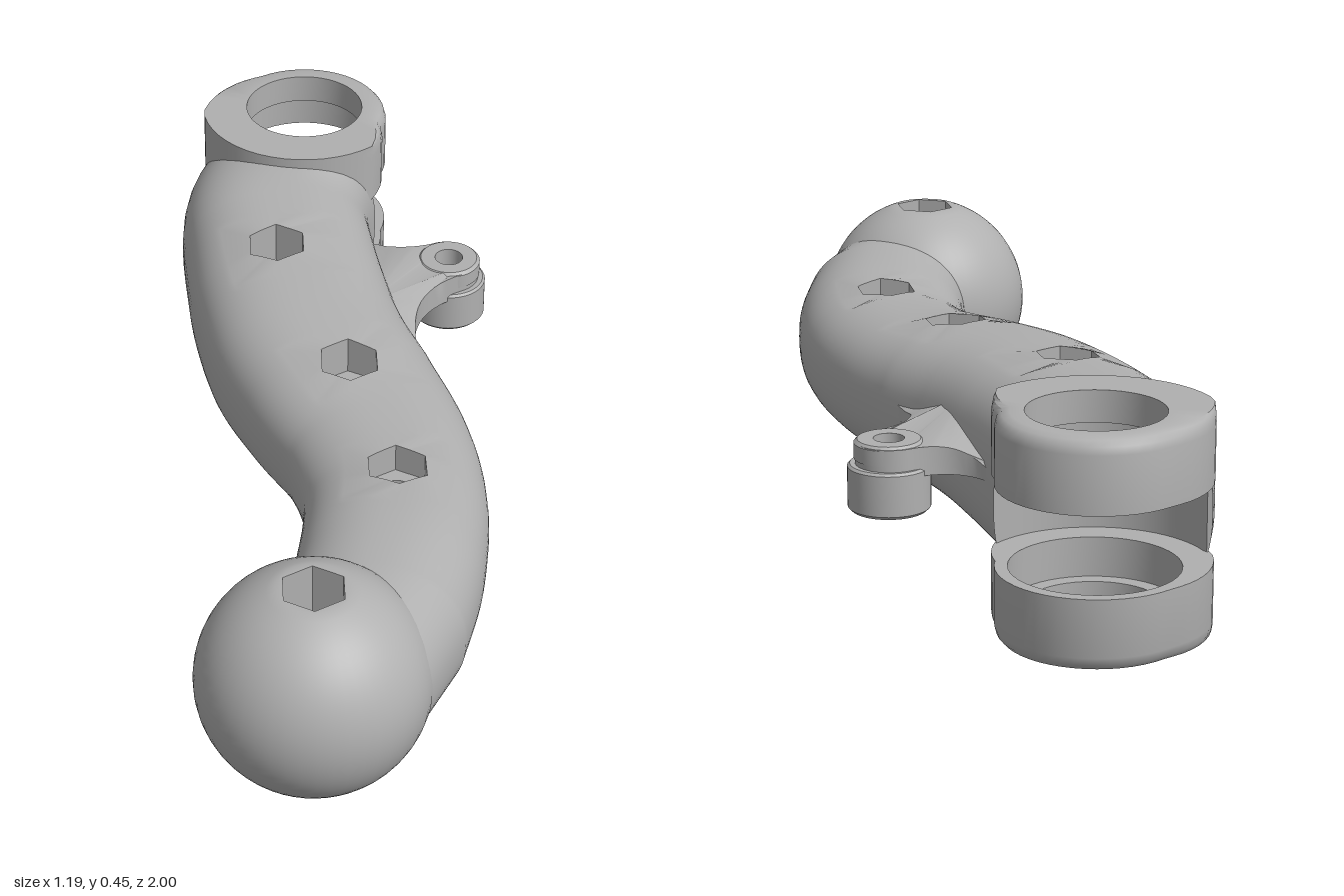
import * as THREE from 'three';
import { toCreasedNormals } from 'three/addons/utils/BufferGeometryUtils.js';

const MID = 0.225;           // height of the symmetry plane
const K = 48;                // points in every hole loop
const V = (x, y, z) => new THREE.Vector3(x, y, z);
const grey = new THREE.MeshStandardMaterial({ color: 0xb0b0b0 });
grey.name = 'grey';

// Smooth normals with sharp edges; scaled up so close points stay distinct
function part(name, geometry, crease = 0.6) {
  geometry.scale(100, 100, 100);
  const g = toCreasedNormals(geometry, crease);
  g.scale(0.01, 0.01, 0.01);
  const mesh = new THREE.Mesh(g, grey);
  mesh.name = name;
  return mesh;
}

// Collects quads given counter-clockwise
class Skin {
  constructor() { this.p = []; }
  quad(a, b, c, d) {
    for (const v of [a, b, c, a, c, d]) this.p.push(v.x, v.y, v.z);
  }
  // Joins closed loops, from the outermost to the innermost
  strips(loops) {
    for (let l = 0; l + 1 < loops.length; l++) {
      const A = loops[l], B = loops[l + 1], n = A.length;
      for (let k = 0; k < n; k++) this.quad(A[k], A[(k + 1) % n], B[(k + 1) % n], B[k]);
    }
  }
  geometry() {
    const g = new THREE.BufferGeometry();
    g.setAttribute('position', new THREE.Float32BufferAttribute(this.p, 3));
    return g;
  }
}

// Loop about a vertical axis; side +1 is seen from above, -1 from below
function loop(cx, cz, side, start, radius, height) {
  return Array.from({ length: K }, (_, k) => {
    const a = start + side * k * 2 * Math.PI / K;
    const r = typeof radius === 'function' ? radius(k) : radius;
    const x = cx + r * Math.cos(a), z = cz - r * Math.sin(a);
    return V(x, typeof height === 'function' ? height(x, z) : height, z);
  });
}
const hexRadius = (k) =>
  0.067 * Math.cos(Math.PI / 6) / Math.cos((k % 8) / 8 * Math.PI / 3 - Math.PI / 6);

// Nut pocket above, round pocket below, and a bolt hole between them
function boltHole(cx, cz, side, start, rimHeight) {
  const r = side > 0 ? hexRadius : 0.05, floor = MID + side * 0.085;
  return [
    loop(cx, cz, side, start, r, rimHeight), loop(cx, cz, side, start, r, floor),
    loop(cx, cz, side, start, 0.031, floor), loop(cx, cz, side, start, 0.031, MID),
  ];
}

// Arm centreline, with its half height stored in y
const path = new THREE.CatmullRomCurve3([
  V(-0.2, 0.166, 0.7), V(-0.09, 0.16, 0.56), V(0.015, 0.148, 0.38), V(0.065, 0.152, 0.2),
  V(0.077, 0.168, 0.01), V(0.09, 0.18, -0.17), V(0.135, 0.19, -0.36), V(0.2, 0.2, -0.56),
]);
const halfWidths = [0.185, 0.19, 0.19, 0.2, 0.215, 0.22, 0.22, 0.215];
const BALL = { x: -0.363, z: 0.768 };
const EYE = { x: 0.39, z: -0.81 };
const power = (v, e) => Math.sign(v) * Math.abs(v) ** e;

// Station on the arm; p is how square its oval section is
function frame(t) {
  const c = path.getPoint(t), d = path.getTangent(t);
  const len = Math.hypot(d.x, d.z), f = t * 7, i = Math.min(6, Math.floor(f));
  return {
    x: c.x, z: c.z, h: c.y, tx: d.x / len, tz: d.z / len, nx: -d.z / len, nz: d.x / len,
    w: THREE.MathUtils.lerp(halfWidths[i], halfWidths[i + 1], f - i), p: 2.25 + 0.4 * t,
  };
}

function armGeometry() {
  const N = 82, M = 72, HALF = 6, skin = new Skin();
  const frames = Array.from({ length: N + 1 }, (_, i) => frame(i / N));
  const fine = Array.from({ length: 401 }, (_, i) => frame(i / 400));
  const nearest = (list, x, z) => list.reduce((best, f, i) =>
    Math.hypot(f.x - x, f.z - z) < Math.hypot(list[best].x - x, list[best].z - z) ? i : best, 0);
  const offset = (f, x, z) => (x - f.x) * f.nx + (z - f.z) * f.nz;
  const ring = (p, point) => Array.from({ length: M }, (_, j) => {
    const a = j / M * 2 * Math.PI;
    return point(power(Math.cos(a), 2 / p), power(Math.sin(a), 2 / p));
  });

  const body = frames.map((f) => ring(f.p, (c, s) =>
    V(f.x + f.nx * f.w * c, MID + f.h * s, f.z + f.nz * f.w * c)));
  // First ring lies inside the ball and bends round its bolt hole
  const first = ring(2.25, (c, s) => {
    const d = 0.042 + 0.183 * c, along = Math.sqrt(Math.max(0, 0.0081 - d * d));
    return V(BALL.x + 0.6 * d + 0.8 * along, MID + 0.166 * s, BALL.z + 0.8 * d - 0.6 * along);
  });
  // Last ring is hollowed round the fork bore
  const last = ring(2.65, (c, s) => {
    const d = c * (c > 0 ? 0.183 : 0.23), along = Math.sqrt(Math.max(0.004, 0.0506 - d * d));
    return V(EYE.x + 0.834 * d - 0.552 * along, MID + 0.203 * s, EYE.z + 0.552 * d + 0.834 * along);
  });
  // Curved transition from the body into the last ring
  const base = body[N], { tx, tz } = frames[N];
  const bend = [0.2, 0.4, 0.6, 0.8].map((u) => base.map((a, j) => {
    const b = last[j], reach = 0.5 * a.distanceTo(b);
    const mid = V(a.x + tx * reach, (a.y + b.y) / 2, a.z + tz * reach);
    return new THREE.QuadraticBezierCurve3(a, mid, b).getPoint(u);
  }));
  const rings = [first, ...body, ...bend, last];
  const at = (i, j) => rings[i][((j % M) + M) % M];

  const skip = new Set();
  for (const [x, z] of [[0.107, -0.37], [0.068, 0.063], [0, 0.415]]) {
    const near = nearest(frames, x, z), ic = near + 1, f = frames[near];
    const jTop = Math.round(Math.acos(power(offset(f, x, z) / f.w, f.p / 2)) / (2 * Math.PI) * M);
    for (const side of [1, -1]) {
      const jc = side > 0 ? jTop : M - jTop, rim = [];
      for (let i = -HALF; i < HALF; i++) {
        for (let j = -HALF; j < HALF; j++) skip.add((ic + i) * M + jc + j);
      }
      for (let k = -HALF; k < HALF; k++) rim.push(at(ic + k, jc - HALF));
      for (let k = -HALF; k < HALF; k++) rim.push(at(ic + HALF, jc + k));
      for (let k = HALF; k > -HALF; k--) rim.push(at(ic + k, jc + HALF));
      for (let k = HALF; k > -HALF; k--) rim.push(at(ic - HALF, jc + k));
      const sixth = Math.PI / 3, turn = 0.1;
      const angle = Math.atan2(z - rim[0].z, rim[0].x - x);
      const start = turn + Math.round((angle - turn) / sixth) * sixth;
      const surface = (px, pz) => {
        const g = fine[nearest(fine, px, pz)], q = Math.abs(offset(g, px, pz) / g.w);
        return MID + side * g.h * Math.max(0, 1 - q ** g.p) ** (1 / g.p);
      };
      skin.strips([rim, ...boltHole(x, z, side, start, surface)]);
    }
  }
  for (let i = 0; i + 1 < rings.length; i++) {
    for (let j = 0; j < M; j++) {
      if (!skip.has(i * M + j)) skin.quad(at(i, j), at(i + 1, j), at(i + 1, j + 1), at(i, j + 1));
    }
  }
  // Concave wall at the back of the fork slot
  const e = rings.length - 1;
  for (let j = 0; j < M / 2; j++) skin.quad(at(e, j), at(e, -j), at(e, -j - 1), at(e, j + 1));
  return skin.geometry();
}

// Ball with flattened poles and a bolt hole
function ballGeometry() {
  const skin = new Skin(), r = 0.233, flat = 0.221;
  for (const side of [1, -1]) {
    const loops = [], top = Math.asin(flat / r);
    for (let i = 0; i <= 16; i++) {
      const a = top * i / 16;
      loops.push(loop(BALL.x, BALL.z, side, 0.1, r * Math.cos(a), MID + side * r * Math.sin(a)));
    }
    skin.strips([...loops, ...boltHole(BALL.x, BALL.z, side, 0.1, MID + side * flat)]);
  }
  return skin.geometry();
}

// Fork ring: wider towards the arm, rounded on its free end, stepped bore
function forkRingGeometry(side) {
  const keys = [[-45, 0.19], [100, 0.19], [130, 0.212], [160, 0.235], [285, 0.235], [315, 0.19]];
  const outline = (k) => {
    const a = ((side * k * 360 / K + 45) % 360 + 360) % 360 - 45;
    const i = Math.max(1, keys.findIndex((q) => q[0] >= a));
    const [a0, r0] = keys[i - 1], [a1, r1] = keys[i];
    return r0 + (r1 - r0) * (a - a0) / (a1 - a0);
  };
  const inset = (amount) => (k) => {
    const r = outline(k);
    return r - amount * THREE.MathUtils.clamp((0.235 - r) / 0.045, 0, 1);
  };
  const profile = [
    [0.165, 0.08], [inset(0), 0.08], [inset(0), 0.195], [inset(0.004), 0.21], [inset(0.013), 0.22],
    [inset(0.028), 0.225], [0.134, 0.225], [0.134, 0.16], [0.165, 0.16], [0.165, 0.08],
  ];
  const skin = new Skin();
  skin.strips(profile.map(([r, y]) => loop(EYE.x, EYE.z, side, 0, r, MID + side * y)));
  return skin.geometry();
}

// Thin web that flares into the arm and carries the side lug
function webGeometry() {
  const s = new THREE.Shape();
  s.moveTo(0.24, 0.02);
  s.lineTo(0.285, 0.0);
  s.bezierCurveTo(0.32, 0.16, 0.38, 0.235, 0.505, 0.24);
  s.absarc(0.505, 0.31, 0.07, -Math.PI / 2, Math.PI / 2, false);
  s.bezierCurveTo(0.43, 0.385, 0.38, 0.44, 0.41, 0.54);
  s.lineTo(0.36, 0.55);
  s.lineTo(0.25, 0.42);
  s.lineTo(0.24, 0.2);
  s.holes.push(new THREE.Path().absarc(0.505, 0.31, 0.04, 0, Math.PI * 2, true));
  const g = new THREE.ExtrudeGeometry(s, { depth: 0.06, bevelEnabled: false, curveSegments: 16 });
  g.rotateX(-Math.PI / 2).translate(0, 0.23, 0);
  const p = g.attributes.position;
  for (let i = 0; i < p.count; i++) {
    if (p.getY(i) < 0.26) continue;
    const drop = THREE.MathUtils.smoothstep(Math.abs(p.getZ(i) + 0.31), 0.06, 0.25) * 0.05;
    p.setY(i, 0.29 - drop + Math.max(0, 0.4 - p.getX(i)) * 0.2);
  }
  return g;
}

// Stepped bushing with a through hole
function lugGeometry() {
  const profile = [
    [0.05, 0.15], [0.076, 0.15], [0.083, 0.157], [0.083, 0.24], [0.078, 0.245], [0.062, 0.245],
    [0.062, 0.256], [0.07, 0.256], [0.07, 0.288], [0.063, 0.295], [0.031, 0.295],
    [0.031, 0.2], [0.05, 0.2], [0.05, 0.15],
  ].map(([r, y]) => new THREE.Vector2(r, y));
  return new THREE.LatheGeometry(profile, 40).translate(0.507, 0, -0.308);
}

export function createModel() {
  const model = new THREE.Group();
  model.name = 'linkArm';
  model.add(
    part('arm', armGeometry()),
    part('ballEnd', ballGeometry()),
    part('upperForkRing', forkRingGeometry(1)),
    part('lowerForkRing', forkRingGeometry(-1)),
    part('lugWeb', webGeometry()),
    part('sideLug', lugGeometry()),
  );
  return model;
}
